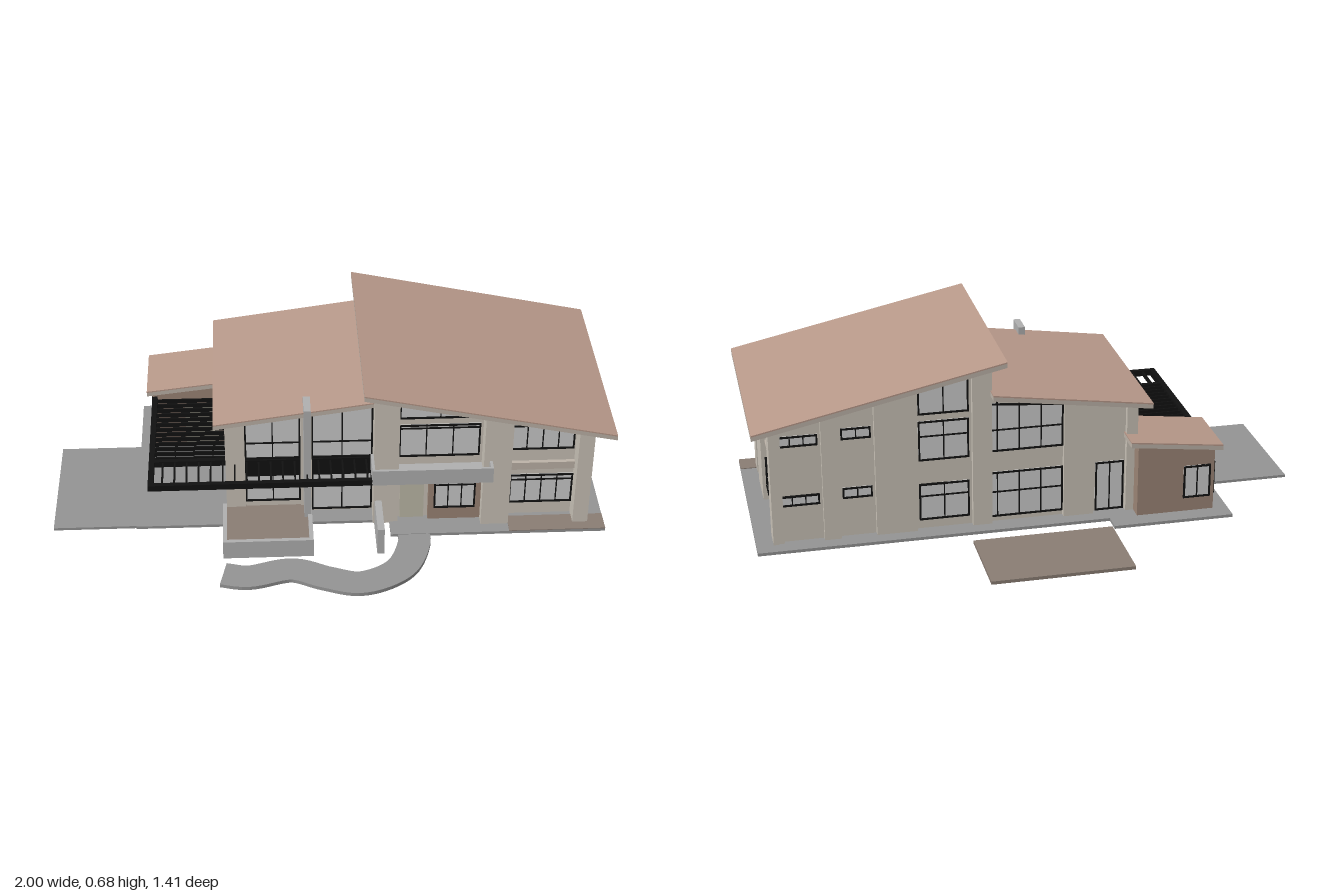
import * as THREE from 'three';

const mat = (color) => new THREE.MeshStandardMaterial({ color });
const WALL = mat(0xc9c2b7), BROWN = mat(0x9c8576), ROOF = mat(0xb8998a), TRIM = mat(0xbdb3a8);
const GREY = mat(0xb0b0b0), PAVE = mat(0x949494), PATIO = mat(0x8a7d74), GLASS = mat(0xcccccc);
const BLACK = mat(0x111111), DOOR = mat(0xbdb9a8);

const shapeOf = (pts) => new THREE.Shape(pts.map(([a, b]) => new THREE.Vector2(a, b)));
const extrude = (pts, depth) => new THREE.ExtrudeGeometry(shapeOf(pts), { depth, bevelEnabled: false });

// Outline in (x, y) pushed along z, in (z, y) pushed along x, in (x, z) pushed along y
const prismZ = (pts, z0, z1) => extrude(pts, z1 - z0).translate(0, 0, z0);
const prismX = (pts, x0, x1) => extrude(pts, x1 - x0).rotateY(-Math.PI / 2).translate(x1, 0, 0);
const prismY = (pts, y0, y1) =>
  extrude(pts.map(([x, z]) => [x, -z]), y1 - y0).rotateX(-Math.PI / 2).translate(0, y0, 0);

// Undersides of the three sloping roofs
const mainEave = (x) => 0.66 - 0.216 * (x - 0.12);
const midEave = (x) => 0.46 + 0.14 * (x + 0.41);
const lowEave = (x) => 0.288 + 0.12 * (x + 0.665);

export function createModel() {
  const model = new THREE.Group();
  const add = (name, geometry, material, parent = model) => {
    const mesh = new THREE.Mesh(geometry, material);
    mesh.name = name;
    parent.add(mesh);
    return mesh;
  };
  const box = (name, material, x0, x1, y0, y1, z0, z1, parent) =>
    add(name, new THREE.BoxGeometry(x1 - x0, y1 - y0, z1 - z0)
      .translate((x0 + x1) / 2, (y0 + y1) / 2, (z0 + z1) / 2), material, parent);

  // Wall block whose top follows a roof slope
  const slopedWall = (name, material, x0, x1, z0, z1, eave, y0 = 0.04) =>
    add(name, prismZ([[x0, y0], [x1, y0], [x1, eave(x1) + 0.004], [x0, eave(x0) + 0.004]], z0, z1), material);

  // Sloping roof slab with a tiled top sheet
  const roof = (name, x0, x1, z0, z1, eave) => {
    const layer = (lo, hi) => prismZ([[x0, eave(x0) + lo], [x1, eave(x1) + lo],
      [x1, eave(x1) + hi], [x0, eave(x0) + hi]], z0, z1);
    add(name, layer(0, 0.016), TRIM);
    add(name + 'Covering', layer(0.016, 0.021), ROOF);
  };

  // Framed window on a wall plane; top may be a height or a slope function
  const windowOn = (name, axis, plane, dir, a0, a1, y0, top, panes = 1, rails = []) => {
    const group = new THREE.Group();
    group.name = name;
    model.add(group);
    const t = typeof top === 'function' ? top : () => top;
    const put = (part, pts, out, material) => {
      const lo = Math.min(plane - dir * 0.004, plane + dir * out);
      const hi = Math.max(plane - dir * 0.004, plane + dir * out);
      add(part, (axis === 'z' ? prismZ : prismX)(pts, lo, hi), material, group);
    };
    const w = 0.006;
    put('glass', [[a0, y0], [a1, y0], [a1, t(a1)], [a0, t(a0)]], 0.003, GLASS);
    put('sill', [[a0, y0], [a1, y0], [a1, y0 + w], [a0, y0 + w]], 0.008, BLACK);
    put('head', [[a0, t(a0) - w], [a1, t(a1) - w], [a1, t(a1)], [a0, t(a0)]], 0.008, BLACK);
    for (const y of rails) put('rail', [[a0, y], [a1, y], [a1, y + 0.005], [a0, y + 0.005]], 0.007, BLACK);
    for (let i = 0; i <= panes; i++) {
      const bw = i === 0 || i === panes ? w : 0.004;
      const a = a0 + (a1 - a0 - bw) * i / panes;
      put('mullion', [[a, y0], [a + bw, y0], [a + bw, t(a + bw)], [a, t(a)]], 0.0075, BLACK);
    }
  };

  // Ground: base slab, driveway, rear patio and winding path
  add('baseSlab', prismY([[-0.7, -0.465], [-0.26, -0.465], [-0.26, -0.4], [1, -0.4], [1, 0.385],
    [0.22, 0.385], [0.22, 0.3], [-0.7, 0.3]], 0.035, 0.046), PAVE);
  box('driveway', PAVE, -1, -0.7, 0.035, 0.045, -0.19, 0.295);
  box('rearPatio', PATIO, -0.27, 0.24, 0, 0.012, -0.71, -0.4);
  box('frontTerrace', PATIO, 0.65, 1, 0.046, 0.049, 0.3, 0.385);
  const curve = new THREE.CatmullRomCurve3([[-0.385, 0.575], [-0.3, 0.593], [-0.14, 0.56], [-0.02, 0.61],
    [0.1, 0.642], [0.24, 0.57], [0.303, 0.42], [0.303, 0.37]].map(([x, z]) => new THREE.Vector3(x, 0, z)));
  const near = [], far = [];
  for (let i = 0; i <= 48; i++) {
    const p = curve.getPointAt(i / 48), d = curve.getTangentAt(i / 48);
    near.push([p.x - d.z * 0.058, p.z + d.x * 0.058]);
    far.unshift([p.x + d.z * 0.058, p.z - d.x * 0.058]);
  }
  add('windingPath', prismY([...near, ...far], 0.03, 0.044), PAVE);

  // Main wing: body, piers and roof
  slopedWall('mainBody', WALL, 0.165, 0.92, -0.33, 0.28, mainEave);
  for (const [x0, x1, z1] of [[0.16, 0.25, 0.31], [0.55, 0.65, 0.34], [0.885, 0.94, 0.345]])
    slopedWall('frontPier', WALL, x0, x1, 0.26, z1, mainEave);
  for (const [x0, x1] of [[0.16, 0.23], [0.43, 0.575], [0.7, 0.76], [0.92, 0.94]])
    slopedWall('rearPier', WALL, x0, x1, -0.35, -0.3, mainEave);
  slopedWall('sidePanel', WALL, 0.9, 0.94, 0.02, 0.2, mainEave);
  slopedWall('sideCornerPier', WALL, 0.9, 0.94, -0.345, -0.265, mainEave);
  box('floorBand', TRIM, 0.65, 0.885, 0.255, 0.285, 0.27, 0.295);
  box('sideFloorBand', TRIM, 0.91, 0.925, 0.28, 0.286, -0.33, 0.33);
  roof('mainRoof', 0.115, 1, -0.4, 0.425, mainEave);

  // Main wing front: windows, entrance and balcony
  windowOn('frontClerestory', 'z', 0.28, 1, 0.25, 0.54, 0.485, (x) => mainEave(x) - 0.008, 2);
  windowOn('frontUpperWindow', 'z', 0.28, 1, 0.25, 0.54, 0.32, 0.458, 3, [0.44]);
  windowOn('cornerClerestory', 'z', 0.28, 1, 0.65, 0.885, 0.485, (x) => mainEave(x) - 0.008, 1);
  windowOn('cornerUpperWindow', 'z', 0.28, 1, 0.65, 0.88, 0.338, 0.455, 4, [0.437]);
  windowOn('cornerLowerWindow', 'z', 0.28, 1, 0.655, 0.885, 0.1, 0.225, 4, [0.2]);
  box('entranceWall', BROWN, 0.36, 0.55, 0.045, 0.27, 0.27, 0.3);
  windowOn('entranceWindow', 'z', 0.3, 1, 0.38, 0.53, 0.1, 0.225, 3, [0.2]);
  box('frontDoor', DOOR, 0.258, 0.345, 0.046, 0.24, 0.27, 0.287);
  box('balconyFloor', GREY, 0.15, 0.58, 0.27, 0.283, 0.27, 0.385);
  box('balconyFront', GREY, 0.15, 0.58, 0.27, 0.332, 0.375, 0.385);
  for (const x of [0.15, 0.57]) box('balconySide', GREY, x, x + 0.01, 0.27, 0.332, 0.28, 0.38);
  box('entranceScreen', GREY, 0.165, 0.19, 0.035, 0.143, 0.3, 0.478);

  // Main wing right side windows
  for (const [y0, y1] of [[0.1, 0.218], [0.34, 0.458]]) {
    windowOn('sideWindow', 'x', 0.92, 1, 0.207, 0.28, y0, y1, 1, [y1 - 0.02]);
    windowOn('sideWindow', 'x', 0.92, 1, -0.062, 0.016, y0, y1, 1, [y1 - 0.02]);
  }
  for (const [y0, y1] of [[0.183, 0.222], [0.408, 0.448]]) {
    windowOn('sideStripWindow', 'x', 0.92, 1, -0.263, -0.08, y0, y1, 4);
    windowOn('rearStripWindow', 'z', -0.33, -1, 0.77, 0.915, y0, y1, 3);
    windowOn('rearSmallWindow', 'z', -0.33, -1, 0.585, 0.69, y0 + 0.01, y1 + 0.012, 2);
  }
  // Rear stair glazing
  windowOn('rearStairLower', 'z', -0.33, -1, 0.24, 0.42, 0.08, 0.22, 2, [0.17]);
  windowOn('rearStairMiddle', 'z', -0.33, -1, 0.24, 0.42, 0.31, 0.46, 2, [0.4]);
  windowOn('rearStairUpper', 'z', -0.33, -1, 0.24, 0.42, 0.485, (x) => mainEave(x) - 0.01, 2);

  // Middle wing: body, piers and roof
  slopedWall('middleBody', WALL, -0.365, 0.18, -0.33, 0.23, midEave);
  for (const [x0, x1] of [[-0.37, -0.3], [-0.1, -0.06]])
    slopedWall('middleFrontPier', WALL, x0, x1, 0.2, 0.255, midEave);
  for (const [x0, x1] of [[-0.21, -0.1], [-0.37, -0.33]])
    slopedWall('middleRearPier', WALL, x0, x1, -0.35, -0.3, midEave);
  box('middleSidePanel', GREY, -0.37, -0.36, 0.3, 0.45, -0.28, 0.2);
  box('chimneyFin', GREY, -0.09, -0.065, 0.04, 0.557, 0.235, 0.325);
  roof('middleRoof', -0.41, 0.165, -0.4, 0.29, midEave);

  // Middle wing glazing, front and rear
  for (const [x0, x1, sill] of [[-0.3, -0.1, 0.1], [-0.06, 0.16, 0.055]]) {
    windowOn('livingUpperGlazing', 'z', 0.23, 1, x0, x1, 0.29, (x) => midEave(x) - 0.012, 2, [0.357]);
    windowOn('livingLowerGlazing', 'z', 0.23, 1, x0, x1, sill, 0.22, 2);
    box('darkSpandrel', BLACK, x0, x1, 0.217, 0.288, 0.225, 0.242);
  }
  windowOn('rearUpperGlazing', 'z', -0.33, -1, -0.1, 0.22, 0.32, (x) => Math.min(midEave(x), 0.53) - 0.02, 4, [0.4]);
  windowOn('rearLowerGlazing', 'z', -0.33, -1, -0.1, 0.22, 0.065, 0.24, 4, [0.16]);
  windowOn('rearDoor', 'z', -0.33, -1, -0.325, -0.22, 0.05, 0.24, 2);

  // Low annexe
  slopedWall('annexe', BROWN, -0.645, -0.36, -0.4, -0.2, lowEave);
  roof('annexeRoof', -0.665, -0.325, -0.43, -0.18, lowEave);
  box('annexeDoor', DOOR, -0.525, -0.4, 0.046, 0.225, -0.21, -0.194);
  windowOn('annexeRearWindow', 'z', -0.4, -1, -0.63, -0.53, 0.1, 0.225, 2);
  windowOn('annexeSideWindow', 'x', -0.645, -1, -0.385, -0.27, 0.1, 0.225, 2);

  // Pergola: beams and two runs of slats
  const pergola = new THREE.Group();
  pergola.name = 'pergola';
  model.add(pergola);
  box('sideBeam', BLACK, -0.645, -0.625, 0.263, 0.286, -0.18, 0.375, pergola);
  box('frontBeam', BLACK, -0.645, 0.16, 0.263, 0.286, 0.357, 0.375, pergola);
  box('crossBeam', BLACK, -0.645, -0.365, 0.263, 0.286, 0.216, 0.234, pergola);
  for (let i = 0; i < 13; i++) {
    const z = -0.165 + i * 0.0305;
    box('sideSlat', BLACK, -0.63, -0.365, 0.266, 0.282, z - 0.003, z + 0.003, pergola);
  }
  for (let i = 0; i < 18; i++) {
    const x = -0.595 + i * 0.043;
    box('frontSlat', BLACK, x - 0.003, x + 0.003, 0.266, 0.282, 0.225, 0.36, pergola);
  }

  // Raised planter
  box('planterSoil', PATIO, -0.375, -0.07, 0.03, 0.09, 0.25, 0.465);
  box('planterFront', GREY, -0.385, -0.062, 0.03, 0.103, 0.46, 0.475);
  for (const x of [-0.385, -0.077]) box('planterSide', GREY, x, x + 0.015, 0.03, 0.103, 0.25, 0.465);

  return model;
}
